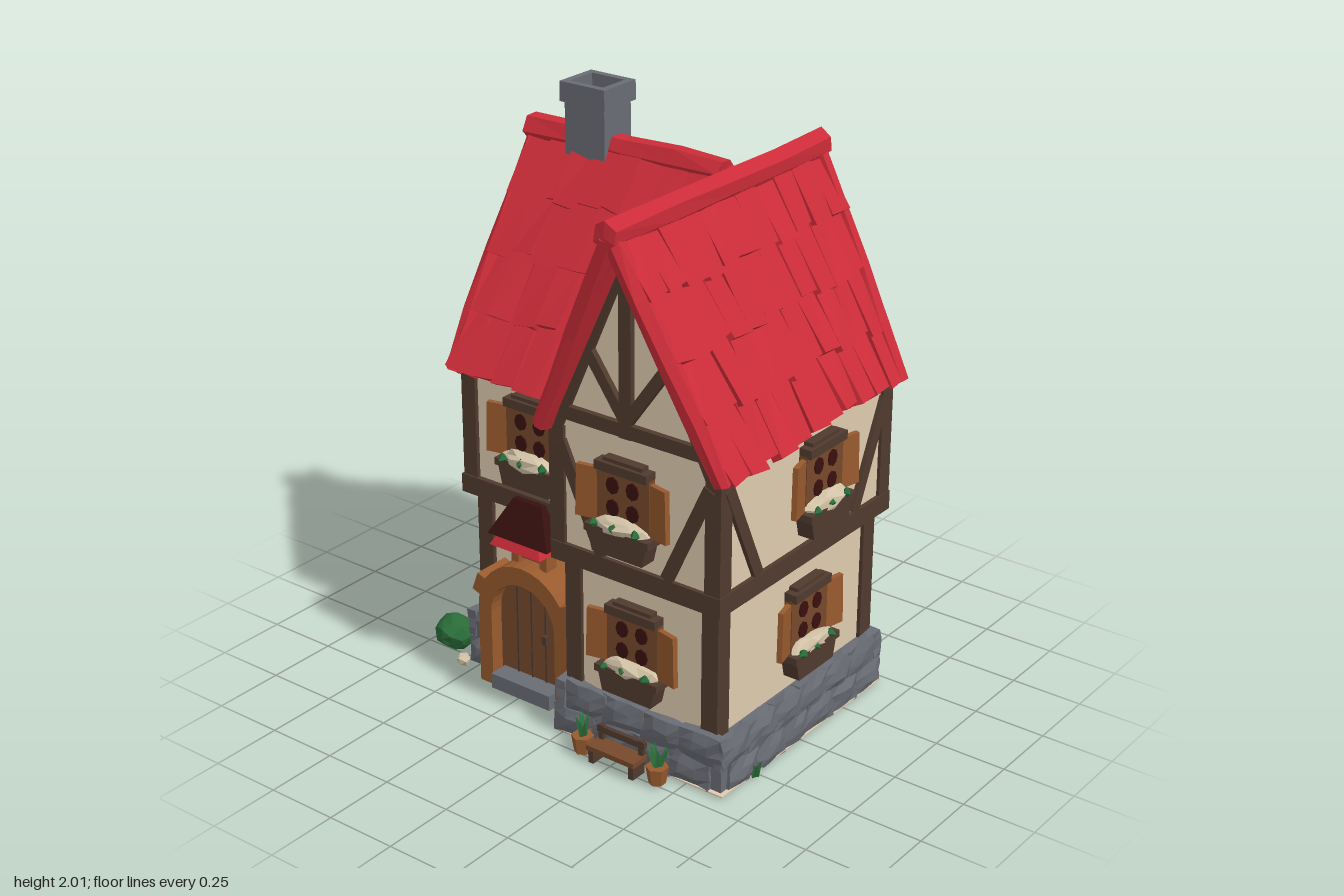
import * as THREE from 'three';
import { mergeGeometries } from 'three/addons/utils/BufferGeometryUtils.js';

const mat = (name, color, side = THREE.FrontSide) => {
  const m = new THREE.MeshStandardMaterial({ color, flatShading: true, side });
  m.name = name;
  return m;
};
const V = (x, y, z) => new THREE.Vector3(x, y, z);

export function createModel() {
  const red = mat('roof red', 0xcb2c38), plaster = mat('plaster', 0xdfcbaf), timber = mat('dark timber', 0x503a2e),
    wood = mat('warm wood', 0x985a2e), brown = mat('door brown', 0x77492b), stone = mat('stone grey', 0x696c74),
    green = mat('leaf green', 0x2a6c39, THREE.DoubleSide), pane = mat('dark pane', 0x38100f), petal = mat('pale petal', 0xd2c3a7);
  const house = new THREE.Group();
  house.name = 'house';

  let seed = 7;
  const rnd = (a = -1, b = 1) => {
    seed = (seed * 16807) % 2147483647;
    return a + (b - a) * (seed / 2147483647);
  };
  // moves coincident corners together so faces stay joined
  const jitter = (geo, amt) => {
    const p = geo.attributes.position, seen = {};
    for (let i = 0; i < p.count; i++) {
      const k = [p.getX(i), p.getY(i), p.getZ(i)].map(v => Math.round(v * 1e4)).join();
      const d = seen[k] ??= [rnd() * amt, rnd() * amt, rnd() * amt];
      p.setXYZ(i, p.getX(i) + d[0], p.getY(i) + d[1], p.getZ(i) + d[2]);
    }
    geo.computeVertexNormals();
    return geo;
  };
  const add = (parent, name, geo, m, x = 0, y = 0, z = 0) => {
    const o = new THREE.Mesh(geo, m);
    o.name = name;
    o.position.set(x, y, z);
    parent.add(o);
    return o;
  };
  const box = (parent, name, m, x, y, z, w, h, d) => add(parent, name, new THREE.BoxGeometry(w, h, d), m, x, y, z);
  const block = (parent, name, m, x0, x1, y0, y1, z0, z1) =>
    box(parent, name, m, (x0 + x1) / 2, (y0 + y1) / 2, (z0 + z1) / 2, x1 - x0, y1 - y0, z1 - z0);
  const bar = (name, a, b, r, m) => {
    const o = add(house, name, jitter(new THREE.CylinderGeometry(r, r, a.distanceTo(b), 6, 4), 0.006), m);
    o.position.copy(a).lerp(b, 0.5);
    o.quaternion.setFromUnitVectors(V(0, 1, 0), b.clone().sub(a).normalize());
  };
  const plank = (parent, x1, y1, x2, y2, z, w = 0.042, d = 0.04) => {
    const o = box(parent, 'timber', timber, (x1 + x2) / 2, (y1 + y2) / 2, z, w, Math.hypot(x2 - x1, y2 - y1), d);
    o.rotation.z = -Math.atan2(x2 - x1, y2 - y1);
  };

  // stone footing: solid core faced with two uneven courses, pale floor beneath
  block(house, 'footingRight', stone, -0.01, 0.63, 0.004, 0.18, -0.455, 0.425);
  block(house, 'footingLeft', stone, -0.535, 0, 0.004, 0.18, -0.455, 0.255);
  block(house, 'floorRight', plaster, -0.02, 0.645, 0, 0.005, -0.47, 0.44);
  block(house, 'floorLeft', plaster, -0.55, -0.02, 0, 0.005, -0.47, 0.27);
  const stones = [];
  const course = (x1, z1, x2, z2) => {
    const len = Math.hypot(x2 - x1, z2 - z1), n = Math.max(1, Math.round(len / 0.14));
    for (let r = 0; r < 2; r++) for (let i = 0; i < n; i++) {
      const t = Math.min(1, Math.max(0, (i + 0.5 + (r ? 0.16 : -0.16)) / n));
      // thinner rims and a fuller middle give a rounded cobble
      const w = len / n + 0.012, h = 0.1, g = new THREE.BoxGeometry(w, h, 0.06, 3, 3, 1), p = g.attributes.position;
      for (let k = 0; k < p.count; k++)
        if (Math.abs(p.getX(k)) > w * 0.4 || Math.abs(p.getY(k)) > h * 0.4) p.setZ(k, p.getZ(k) * 0.55);
      jitter(g, 0.005);
      g.rotateY(-Math.atan2(z2 - z1, x2 - x1));
      g.translate(x1 + (x2 - x1) * t, 0.051 + r * 0.094 + rnd() * 0.004, z1 + (z2 - z1) * t);
      stones.push(g);
    }
  };
  course(-0.52, -0.45, 0.61, -0.45);
  course(0.625, -0.44, 0.625, 0.41);
  course(0.0, 0.42, 0.61, 0.42);
  course(0.0, 0.25, 0.0, 0.41);
  course(-0.52, 0.25, -0.42, 0.25);
  course(-0.533, -0.44, -0.533, 0.24);
  add(house, 'footingStones', mergeGeometries(stones), stone);

  // ground floor, jetty beams and gabled upper floor
  block(house, 'lowerWallRight', plaster, 0.02, 0.59, 0.15, 0.68, -0.44, 0.4);
  block(house, 'lowerWallLeft', plaster, -0.51, 0.02, 0.15, 0.68, -0.44, 0.21);
  block(house, 'jettyRight', timber, -0.01, 0.645, 0.645, 0.71, -0.475, 0.465);
  block(house, 'jettyLeft', timber, -0.545, 0, 0.645, 0.71, -0.475, 0.28);
  const gableWall = (a, peak, b, depth) => new THREE.ExtrudeGeometry(new THREE.Shape([[a, 0.7], [b, 0.7], [b, 1.1],
    [peak, 1.745], [a, 1.1]].map(p => new THREE.Vector2(...p))), { depth, bevelEnabled: false });
  add(house, 'upperWallRight', gableWall(0, 0.29, 0.63, 0.91), plaster, 0, 0, -0.46);
  add(house, 'upperWallLeft', gableWall(-0.26, 0.13, 0.46, 0.6).rotateY(Math.PI / 2), plaster, -0.525);
  for (const [x, z] of [[0.572, 0.382], [0.035, 0.382], [0.572, -0.425], [0.0, -0.425], [-0.495, -0.425], [-0.495, 0.195]])
    box(house, 'lowerPost', timber, x, 0.42, z, 0.062, 0.48, 0.062);
  for (const [x, z] of [[0.612, 0.432], [0.015, 0.432], [0.612, -0.445], [0.0, -0.445], [-0.51, -0.445], [-0.51, 0.245]])
    box(house, 'upperPost', timber, x, 0.9, z, 0.058, 0.42, 0.058);

  // facades: local x along the wall, z outward
  const facade = (name, angle) => {
    const g = new THREE.Group();
    g.name = name;
    g.rotation.y = angle;
    house.add(g);
    return g;
  };
  const front = facade('frontFacade', 0), right = facade('rightFacade', Math.PI / 2),
    back = facade('backFacade', Math.PI), left = facade('leftFacade', -Math.PI / 2);
  const gableTimber = (g, cx, z, a, b) => {
    plank(g, cx, 1.14, cx, 1.72, z, 0.045);
    plank(g, a, 1.165, b, 1.165, z, 0.045);
    for (const [e, s] of [[a, -1], [b, 1]]) {
      plank(g, e, 1.1, cx, 1.735, z, 0.045);
      plank(g, cx, 1.19, cx + s * 0.15, 1.4, z, 0.038);
    }
  };
  const braces = (g, z, a, b) => {
    plank(g, a, 1.06, a + 0.16, 0.71, z);
    plank(g, b, 1.06, b - 0.16, 0.71, z);
  };
  gableTimber(front, 0.29, 0.45, 0.01, 0.61);
  gableTimber(back, -0.29, 0.46, -0.61, -0.01);
  gableTimber(left, -0.13, 0.525, -0.44, 0.24);
  braces(front, 0.445, 0.03, 0.6);
  braces(back, 0.455, -0.6, -0.03);
  braces(right, 0.625, -0.42, 0.43);
  braces(left, 0.52, -0.42, 0.22);

  // window with lintel, four panes, open shutters and flower box
  const windowAt = (parent, x, y, z) => {
    const g = new THREE.Group();
    g.name = 'window';
    g.position.set(x, y, z);
    parent.add(g);
    box(g, 'windowFrame', brown, 0, 0.18, 0.01, 0.2, 0.19, 0.04);
    box(g, 'lintel', timber, 0, 0.285, 0.015, 0.2, 0.03, 0.06);
    box(g, 'lintelCap', timber, 0, 0.3, 0.01, 0.15, 0.025, 0.045);
    for (const s of [-1, 1]) {
      for (const py of [0.15, 0.225]) {
        const hole = add(g, 'pane', new THREE.CylinderGeometry(0.024, 0.024, 0.006, 8).rotateX(Math.PI / 2), pane, s * 0.038, py, 0.032);
        hole.scale.y = 1.2;
      }
      const sh = box(g, 'shutter', wood, s * 0.133, 0.178, 0.026, 0.084, 0.175, 0.018);
      sh.rotation.set(0, -s * 0.25, s * 0.03);
    }
    const planter = new THREE.BoxGeometry(0.235, 0.09, 0.06), p = planter.attributes.position;
    for (let i = 0; i < p.count; i++) if (p.getY(i) < 0) p.setX(i, p.getX(i) * 0.82);
    add(g, 'flowerBox', planter, timber, 0, 0.045, 0.032);
    box(g, 'flowerBoxRim', timber, 0, 0.078, 0.034, 0.245, 0.025, 0.068);
    const mound = new THREE.IcosahedronGeometry(1, 1).scale(0.112, 0.036, 0.036);
    add(g, 'flowers', jitter(mound, 0.007), petal, 0, 0.092, 0.038);
    for (const fx of [-0.085, -0.01, 0.075])
      add(g, 'leaves', jitter(new THREE.OctahedronGeometry(0.018), 0.004), green, fx, 0.098 + rnd() * 0.006, 0.066);
  };
  windowAt(front, 0.29, 0.755, 0.45);
  windowAt(front, 0.285, 0.235, 0.4);
  windowAt(front, -0.235, 0.75, 0.26);
  windowAt(right, 0.06, 0.75, 0.63);
  windowAt(right, 0.06, 0.235, 0.59);
  windowAt(back, 0.27, 0.75, 0.46);
  windowAt(back, 0.27, 0.235, 0.44);
  windowAt(back, -0.3, 0.235, 0.44);
  windowAt(left, -0.05, 0.75, 0.53);
  windowAt(left, -0.05, 0.235, 0.525);

  // roof slopes: wedge tiles over a thin deck, laid between ridge a-b and eave c-d
  const slope = (name, a, b, c, d, cols, limit) => {
    const n = b.clone().sub(a).cross(c.clone().sub(a)).normalize(), parts = [];
    const wedge = (u0, u1, v0, v1, low, topH, botH, rough) => {
      const g = new THREE.BoxGeometry(1, 1, 1), p = g.attributes.position;
      for (let i = 0; i < p.count; i++) {
        const u = p.getX(i) < 0 ? u0 : u1, end = p.getY(i) > 0, v = end ? v1 : v0;
        const h = p.getZ(i) < 0 ? low : end ? botH : topH;
        const q = a.clone().lerp(b, u).lerp(c.clone().lerp(d, u), v).addScaledVector(n, h);
        p.setXYZ(i, q.x, q.y, q.z);
      }
      jitter(g, rough);
      if (limit) for (let i = 0; i < p.count; i++) p.setX(i, Math.min(p.getX(i), limit(p.getY(i))));
      g.computeVertexNormals();
      parts.push(g);
    };
    wedge(0, 1, 0, 1, -0.03, 0, 0, 0);
    for (let r = 0; r < 4; r++) for (let i = 0; i < cols; i++)
      wedge(i / cols, (i + 1) / cols, r / 4, (r + 1) / 4 + rnd(0.005, 0.04), -0.01, 0.012, rnd(0.028, 0.042), 0.008);
    add(house, name, mergeGeometries(parts), red);
  };
  const Y = 1.79, L = 1.81, E = 1.11, valley = y => 0.33 - (Y - y) * 0.48;
  slope('roofRightOuter', V(0.29, Y, -0.535), V(0.29, Y, 0.535), V(0.65, E, -0.475), V(0.65, E, 0.48), 11);
  slope('roofRightInner', V(0.29, Y, 0.535), V(0.29, Y, -0.535), V(-0.025, E, 0.475), V(-0.025, E, -0.5), 11);
  slope('roofLeftFront', V(0.29, L, -0.12), V(-0.535, L, -0.12), V(0.29, E, 0.31), V(-0.535, E, 0.305), 9, valley);
  slope('roofLeftBack', V(-0.535, L, -0.14), V(0.29, L, -0.14), V(-0.535, E, -0.51), V(0.29, E, -0.5), 9, valley);
  bar('ridgeRight', V(0.29, 1.805, -0.555), V(0.29, 1.805, 0.555), 0.045, red);
  bar('ridgeLeft', V(-0.555, 1.8, -0.13), V(0.22, 1.8, -0.13), 0.045, red);
  for (const s of [-1, 1]) {
    bar('vergeRightOuter', V(0.29, 1.795, s * 0.53), V(0.665, 1.1, s * 0.48), 0.032, red);
    bar('vergeRightInner', V(0.29, 1.795, s * 0.53), V(-0.02, 1.11, s * 0.48), 0.032, red);
    bar('vergeLeft', V(-0.535, 1.8, -0.13), V(-0.53, 1.1, s > 0 ? 0.32 : -0.54), 0.03, red);
  }

  // chimney with an open cap
  box(house, 'chimneyShaft', stone, -0.293, 1.8, -0.14, 0.16, 0.28, 0.135);
  for (const s of [-1, 1]) {
    box(house, 'chimneyCapSide', stone, -0.293 + s * 0.078, 1.967, -0.14, 0.025, 0.066, 0.16);
    box(house, 'chimneyCapEnd', stone, -0.293, 1.967, -0.14 + s * 0.067, 0.135, 0.066, 0.025);
  }

  // arched doorway, step and little hood
  const arch = (w, top) => {
    const s = new THREE.Shape();
    s.moveTo(-w, 0).lineTo(w, 0).lineTo(w, top);
    s.absarc(0, top, w, 0, Math.PI, false);
    return s.lineTo(-w, 0);
  };
  const extrude = (s, depth) => new THREE.ExtrudeGeometry(s, { depth, bevelEnabled: false, curveSegments: 8 });
  const frame = arch(0.19, 0.29);
  frame.holes.push(arch(0.135, 0.28));
  add(house, 'doorFrame', extrude(frame, 0.16), wood, -0.235, 0, 0.19);
  add(house, 'door', extrude(arch(0.138, 0.28), 0.1), brown, -0.235, 0.01, 0.2);
  for (const x of [-0.06, 0, 0.06]) box(house, 'doorGroove', timber, -0.235 + x, 0.22, 0.302, 0.006, 0.34, 0.006);
  box(house, 'doorHandle', timber, -0.17, 0.22, 0.31, 0.018, 0.03, 0.02);
  box(house, 'doorStep', stone, -0.235, 0.027, 0.31, 0.25, 0.054, 0.12);
  for (const s of [-1, 1]) {
    const shoulder = box(house, 'doorShoulder', wood, -0.235 + s * 0.185, 0.365, 0.275, 0.04, 0.07, 0.15);
    shoulder.rotation.z = s * 0.35;
    box(house, 'hoodPost', wood, -0.24 + s * 0.06, 0.52, 0.28, 0.03, 0.1, 0.05);
  }
  box(house, 'hoodBeam', brown, -0.24, 0.51, 0.25, 0.1, 0.05, 0.08);
  const hood = (name, m, rTop, rBottom, h, y, z) => {
    const o = add(house, name, new THREE.CylinderGeometry(rTop, rBottom, h, 4).rotateY(Math.PI / 4), m, -0.245, y, z);
    o.scale.z = 0.85;
  };
  hood('hoodFrame', pane, 0.085, 0.178, 0.125, 0.637, 0.25);
  hood('hoodRoof', red, 0.07, 0.15, 0.105, 0.597, 0.28);

  // bench and potted plants
  box(house, 'benchSeat', brown, 0.275, 0.055, 0.5, 0.19, 0.018, 0.07);
  box(house, 'benchBack', timber, 0.275, 0.1, 0.472, 0.19, 0.022, 0.015);
  for (const s of [-1, 1]) {
    box(house, 'benchLeg', timber, 0.275 + s * 0.08, 0.025, 0.5, 0.02, 0.05, 0.06);
    box(house, 'benchBackPost', timber, 0.275 + s * 0.08, 0.08, 0.472, 0.018, 0.07, 0.015);
  }
  const tuft = (x, y, z, h) => {
    for (let i = 0; i < 8; i++) {
      const o = add(house, 'leaf', new THREE.ConeGeometry(0.014, h, 3).translate(0, h / 2, 0), green, x, y, z);
      o.rotation.set(rnd() * 0.4, 0, rnd() * 0.45);
    }
  };
  for (const x of [0.13, 0.43]) {
    add(house, 'plantPot', new THREE.CylinderGeometry(0.038, 0.028, 0.06, 6), wood, x, 0.03, 0.49);
    tuft(x, 0.05, 0.49, 0.09);
  }
  tuft(0.65, 0, 0.27, 0.06);
  tuft(0.2, 0, -0.485, 0.05);

  // bushes and pale blossoms along the left side
  const clump = (name, m, x, z, r) => add(house, name, jitter(new THREE.IcosahedronGeometry(r, r > 0.04 ? 1 : 0), r * 0.12), m, x, r, z);
  clump('bush', green, -0.635, 0.245, 0.066);
  for (const [x, z, r] of [[-0.64, -0.43, 0.036], [-0.62, -0.17, 0.035], [-0.59, 0.17, 0.022]]) clump('shrub', green, x, z, r);
  for (const [x, z, r] of [[-0.65, -0.32, 0.03], [-0.595, -0.35, 0.02], [-0.65, -0.115, 0.026], [-0.67, 0.165, 0.03],
    [-0.64, -0.385, 0.036], [-0.58, -0.13, 0.025], [-0.53, 0.32, 0.025]]) clump('blossom', petal, x, z, r);
  return house;
}
